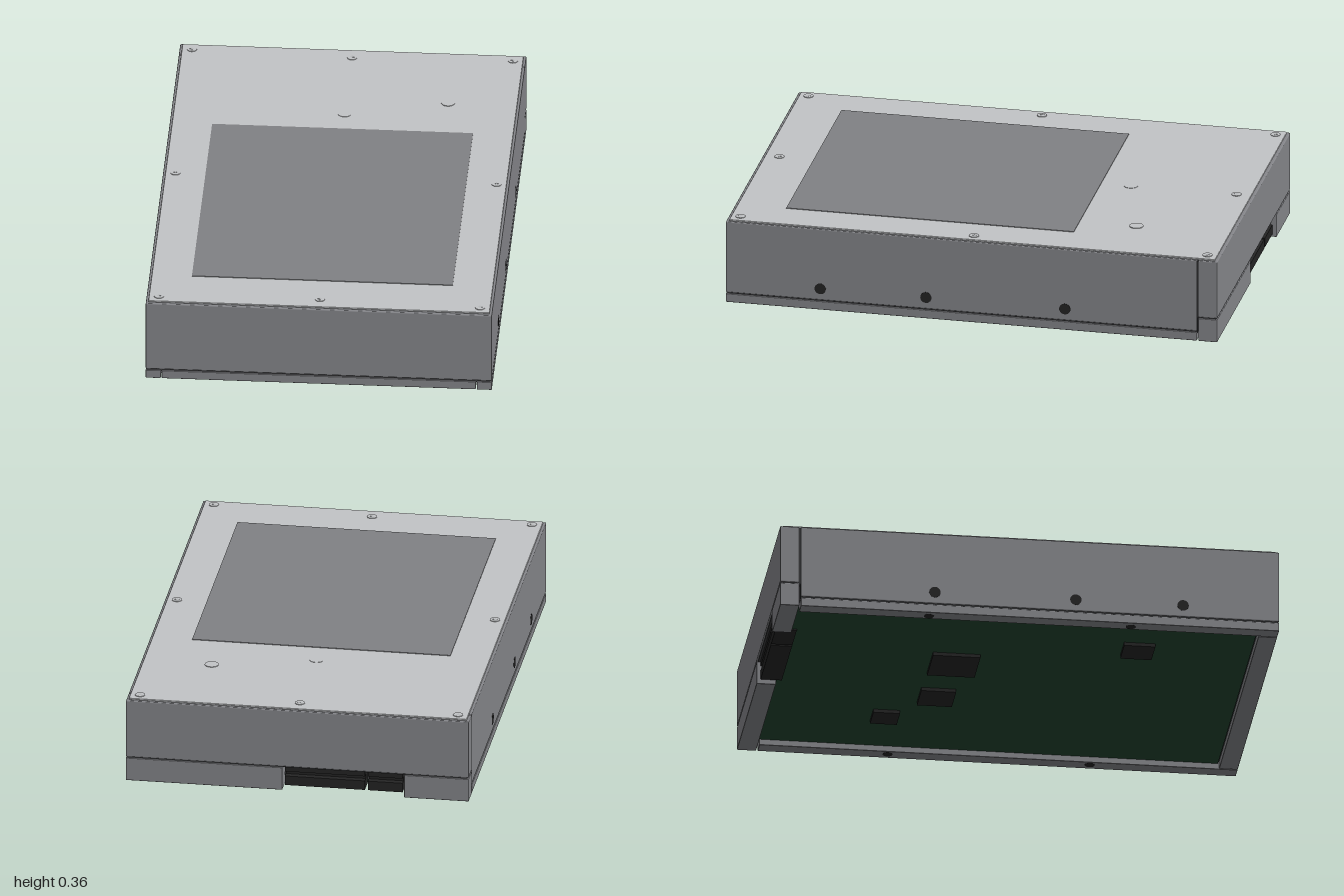
import * as THREE from 'three';
import { RoundedBoxGeometry } from 'three/addons/geometries/RoundedBoxGeometry.js';

const material = (name, color) => {
  const m = new THREE.MeshStandardMaterial({ color });
  m.name = name;
  return m;
};

export function createModel() {
  const group = new THREE.Group();
  group.name = 'hardDrive';

  const casing = material('casing grey', 0x85868a);
  const lidGrey = material('lid light grey', 0xc2c4c6);
  const labelGrey = material('label grey', 0x808184);
  const screwGrey = material('screw grey', 0xb4b6b8);
  const seam = material('seam dark grey', 0x3c3d3f);
  const board = material('board green', 0x22442f);
  const black = material('plastic black', 0x242424);

  const add = (name, geometry, mat, x, y, z) => {
    const mesh = new THREE.Mesh(geometry, mat);
    mesh.name = name;
    mesh.position.set(x, y, z);
    group.add(mesh);
    return mesh;
  };
  // Box given by its extents on each axis, with an optional soft edge
  const block = (name, mat, [x0, x1], [y0, y1], [z0, z1], r = 0) => {
    const size = [x1 - x0, y1 - y0, z1 - z0];
    const geometry = r ? new RoundedBoxGeometry(...size, 2, r) : new THREE.BoxGeometry(...size);
    return add(name, geometry, mat, (x0 + x1) / 2, (y0 + y1) / 2, (z0 + z1) / 2);
  };

  // Dark core, visible only inside the seams
  block('seamCore', seam, [-0.684, 0.684], [0.031, 0.34], [-0.918, 0.994]);
  block('rearSeamCore', seam, [-0.684, 0.684], [0.097, 0.34], [-0.994, -0.91]);

  // Upper casing
  block('mainBody', casing, [-0.69, 0.69], [0.042, 0.345], [-0.917, 1], 0.004);
  block('rearBody', casing, [-0.69, 0.69], [0.102, 0.345], [-1, -0.923], 0.004);

  // Bottom frame: side rails, front strip and the two rear blocks beside the notch
  for (const s of [-1, 1]) {
    const x = s < 0 ? [-0.69, -0.63] : [0.63, 0.69];
    block('sideRail', casing, x, [0, 0.036], [-0.917, 1], 0.003);
  }
  block('frontStrip', casing, [-0.626, 0.626], [0, 0.036], [0.925, 1], 0.003);
  block('rearBlockLeft', casing, [0.06, 0.69], [0, 0.097], [-1, -0.923], 0.003);
  block('rearBlockRight', casing, [-0.69, -0.43], [0, 0.097], [-1, -0.923], 0.003);

  // Circuit board and chips
  block('circuitBoard', board, [-0.625, 0.625], [0.022, 0.032], [-0.92, 0.92]);
  const chips = [[0.34, -0.45, 0.107], [0.13, -0.27, 0.14], [-0.18, -0.24, 0.19], [-0.4, 0.47, 0.125]];
  for (const [x, z, s] of chips) {
    add('chip', new THREE.BoxGeometry(s, 0.016, s), black, x, 0.016, z);
  }

  // Rear connectors: a housing with two lips around a slot
  for (const [x0, x1] of [[-0.27, 0.052], [-0.422, -0.282]]) {
    block('connectorHousing', black, [x0, x1], [0.016, 0.1], [-0.96, -0.9]);
    block('connectorUpperLip', black, [x0, x1], [0.075, 0.1], [-0.985, -0.96]);
    block('connectorLowerLip', black, [x0, x1], [0.016, 0.055], [-0.985, -0.96]);
  }

  // Lid and label plate
  block('lid', lidGrey, [-0.68, 0.68], [0.344, 0.352], [-0.988, 0.988], 0.003);
  block('label', labelGrey, [-0.52, 0.52], [0.35, 0.3545], [-0.38, 0.79]);

  // Lid screws with a cross recess
  const screws = [[0, -0.93], [0, 0.93]];
  for (const s of [-1, 1]) for (const z of [-0.95, 0, 0.95]) screws.push([s * 0.64, z]);
  for (const [x, z] of screws) {
    add('lidScrew', new THREE.CylinderGeometry(0.02, 0.02, 0.004, 20), lidGrey, x, 0.3525, z);
    for (const [w, d] of [[0.018, 0.004], [0.004, 0.018]]) {
      add('screwRecess', new THREE.BoxGeometry(w, 0.001, d), screwGrey, x, 0.3546, z);
    }
  }
  // Round caps on the lid
  add('pivotCap', new THREE.CylinderGeometry(0.028, 0.028, 0.004, 24), lidGrey, 0.405, 0.3525, -0.61);
  add('spindleCap', new THREE.CylinderGeometry(0.028, 0.028, 0.003, 24), lidGrey, 0, 0.352, -0.5);

  // Mounting holes in the sides and under the rails
  for (const s of [-1, 1]) {
    for (const z of [0.615, 0.185, -0.38]) {
      const hole = add('sideHole', new THREE.CylinderGeometry(0.023, 0.023, 0.004, 20), black, s * 0.689, 0.09, z);
      hole.rotation.z = Math.PI / 2;
    }
    for (const z of [0.41, -0.4]) {
      add('bottomHole', new THREE.CylinderGeometry(0.02, 0.02, 0.004, 20), black, s * 0.655, 0.0015, z);
    }
  }

  return group;
}
